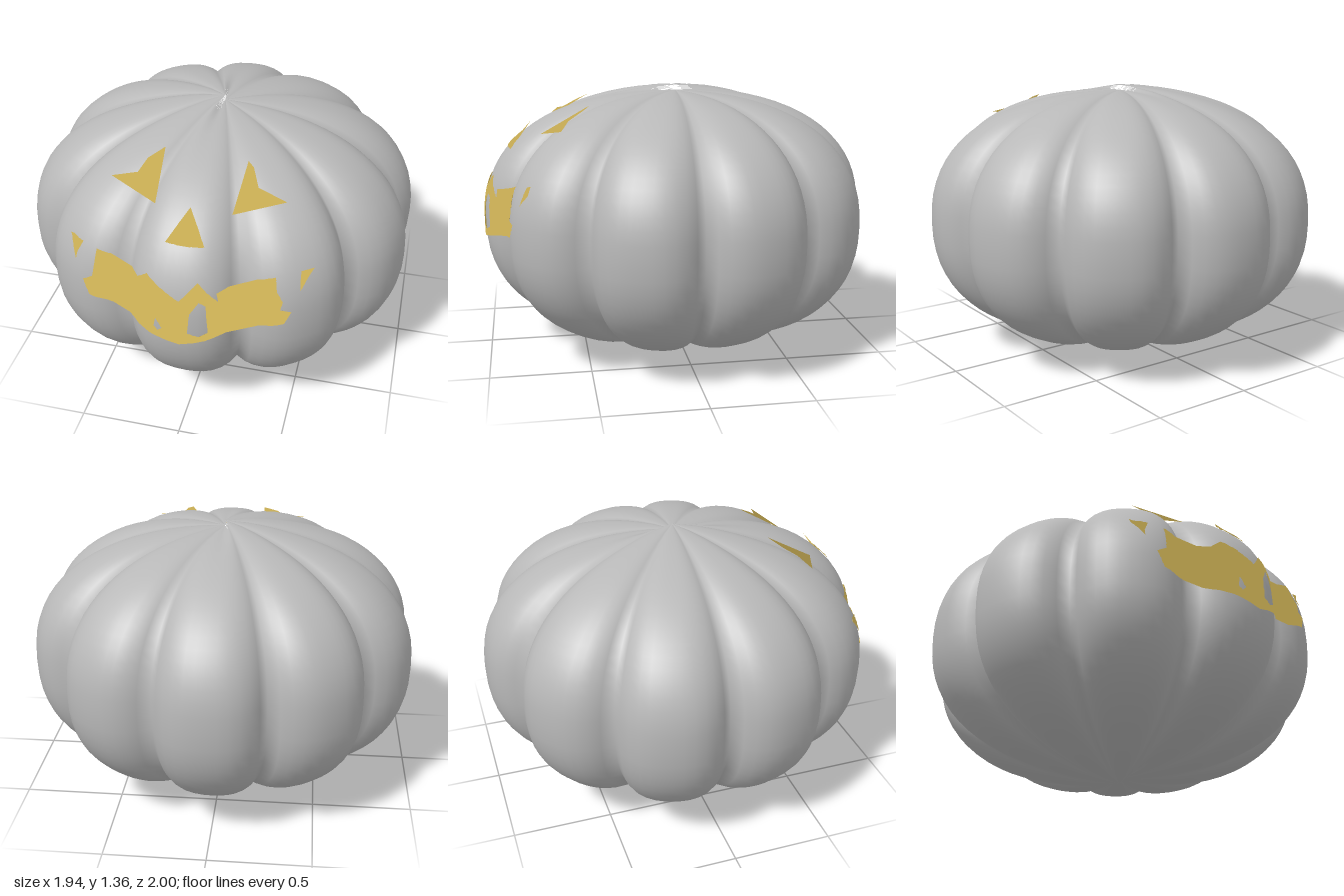
import * as THREE from 'three';

const LOBES = 10, MID = 0.687, HALF = 0.655, POWER = 2.35;

// How far an angle is from its lobe's crest: 0 on the crest, 1 in the groove
function groove(angle) {
  const u = angle / (2 * Math.PI) * LOBES;
  return Math.pow(Math.abs(2 * (u - Math.floor(u)) - 1), 2.8);
}

// Half-height of the body at an angle and relative radius, given the profile height 0..1
function heightAt(angle, radius, profile) {
  const left = THREE.MathUtils.smoothstep(-Math.cos(angle), 0, 0.3);
  const bump = 0.025 * left * Math.exp(-Math.pow(radius / 0.35, 2));
  return (HALF + bump) * profile * (1 - 0.05 * groove(angle) * radius);
}

const widthAt = (angle) => 1 - 0.13 * groove(angle);

// Ribbed body, rings running from the top pole to the bottom pole
function bodyGeometry() {
  const rows = 36, cols = LOBES * 12, positions = [], index = [];
  for (let i = 0; i <= rows; i++) {
    const phi = Math.PI * i / rows;
    const radius = Math.pow(Math.abs(Math.sin(phi)), 2 / POWER);
    const profile = Math.pow(Math.abs(Math.cos(phi)), 2 / POWER) * Math.sign(Math.cos(phi));
    for (let j = 0; j < cols; j++) {
      const angle = 2 * Math.PI * j / cols;
      const r = radius * widthAt(angle);
      positions.push(r * Math.cos(angle), MID + heightAt(angle, radius, profile), r * Math.sin(angle));
      if (i === rows) continue;
      const a = i * cols + j, b = i * cols + (j + 1) % cols;
      if (i > 0) index.push(a, b, a + cols);
      if (i < rows - 1) index.push(b, b + cols, a + cols);
    }
  }
  const geometry = new THREE.BufferGeometry();
  geometry.setAttribute('position', new THREE.Float32BufferAttribute(positions, 3));
  geometry.setIndex(index);
  geometry.computeVertexNormals();
  return geometry;
}

// Front-most z of the body at x, y
function frontZ(x, y) {
  for (let z = 1; z > 0; z -= 0.004) {
    const angle = Math.atan2(z, x), radius = Math.hypot(x, z) / widthAt(angle);
    if (radius >= 1) continue;
    const profile = Math.pow(1 - Math.pow(radius, POWER), 1 / POWER);
    if (Math.abs(y - MID) < heightAt(angle, radius, profile)) return z;
  }
  return 0;
}

const toPoints = (list) => list.map(([x, y]) => new THREE.Vector2(x, y));

// Thin face plate on a tilted plane, kept just clear of the body
function plateGeometry(outline, planeZ, holes = []) {
  const shape = new THREE.Shape(toPoints(outline));
  holes.forEach((hole) => shape.holes.push(new THREE.Path(toPoints(hole))));
  let flat = Array.from(new THREE.ShapeGeometry(shape).toNonIndexed().attributes.position.array);
  for (let level = 0; level < 4; level++) {
    const finer = [];
    for (let k = 0; k < flat.length; k += 9) {
      const [a, b, c] = [0, 3, 6].map((o) => new THREE.Vector3().fromArray(flat, k + o));
      const ab = a.clone().lerp(b, 0.5), bc = b.clone().lerp(c, 0.5), ca = c.clone().lerp(a, 0.5);
      [a, ab, ca, ab, b, bc, ca, bc, c, ab, bc, ca].forEach((p) => finer.push(p.x, p.y, p.z));
    }
    flat = finer;
  }
  const normals = [];
  for (let k = 0; k < flat.length; k += 3) {
    const [x, y] = [flat[k], flat[k + 1]];
    flat[k + 2] = Math.max(planeZ(x, y), frontZ(x, y) + 0.008);
    normals.push(0, 0, 1);
  }
  const geometry = new THREE.BufferGeometry();
  geometry.setAttribute('position', new THREE.Float32BufferAttribute(flat, 3));
  geometry.setAttribute('normal', new THREE.Float32BufferAttribute(normals, 3));
  return geometry;
}

export function createModel() {
  const group = new THREE.Group();
  const rind = new THREE.MeshStandardMaterial({ name: 'greyRind', color: 0xb8b8b8 });
  const glow = new THREE.MeshStandardMaterial({ name: 'yellowGlow', color: 0xe7c861, side: THREE.DoubleSide });

  const add = (name, geometry, material) => {
    const mesh = new THREE.Mesh(geometry, material);
    mesh.name = name;
    group.add(mesh);
  };

  add('pumpkinBody', bodyGeometry(), rind);

  // Eyes
  const eyeZ = (x, y) => 0.44 - 0.07 * (Math.abs(x) - 0.19) - 1.74 * (y - 1.31);
  add('rightEye', plateGeometry(
    [[-0.18, 1.306], [-0.25, 1.27], [-0.28, 1.23], [-0.40, 1.21], [-0.16, 1.16]], eyeZ), glow);
  add('leftEye', plateGeometry(
    [[0.22, 1.295], [0.25, 1.28], [0.29, 1.23], [0.43, 1.20], [0.20, 1.157]], eyeZ), glow);

  // Nose
  add('nose', plateGeometry([[0.02, 1.20], [-0.07, 1.075], [0.11, 1.07]],
    (x, y) => 0.75 - 0.8 * (y - 1.2)), glow);

  // Mouth, folded along the middle, with two gaps and separate corner tips
  const mouthZ = (x, y) => 0.99 - 0.28 * Math.abs(x - 0.02) - 0.17 * (y - 0.6);
  const rightHalf = [[0.02, 0.605], [0.02, 0.85], [-0.14, 0.94], [-0.19, 0.90], [-0.41, 0.955],
    [-0.42, 0.88], [-0.43, 0.82], [-0.48, 0.79], [-0.45, 0.71]];
  const leftHalf = [[0.02, 0.605], [0.48, 0.71], [0.51, 0.775], [0.46, 0.79], [0.47, 0.83],
    [0.44, 0.88], [0.43, 0.945], [0.18, 0.88], [0.19, 0.84], [0.10, 0.94], [0.02, 0.85]];
  add('mouthRight', plateGeometry(rightHalf, mouthZ,
    [[[-0.09, 0.74], [-0.06, 0.69], [-0.08, 0.67], [-0.10, 0.69]]]), glow);
  add('mouthLeft', plateGeometry(leftHalf, mouthZ,
    [[[0.11, 0.85], [0.14, 0.83], [0.15, 0.68], [0.11, 0.66], [0.06, 0.68], [0.07, 0.79]]]), glow);
  add('mouthTipRight', plateGeometry(
    [[-0.56, 0.977], [-0.483, 0.967], [-0.514, 0.91], [-0.52, 0.874]], mouthZ), glow);
  add('mouthTipLeft', plateGeometry(
    [[0.59, 0.977], [0.535, 0.96], [0.56, 0.92], [0.514, 0.874]].slice(0, 2)
      .concat([[0.535, 0.93], [0.54, 0.874]]), mouthZ), glow);

  return group;
}
